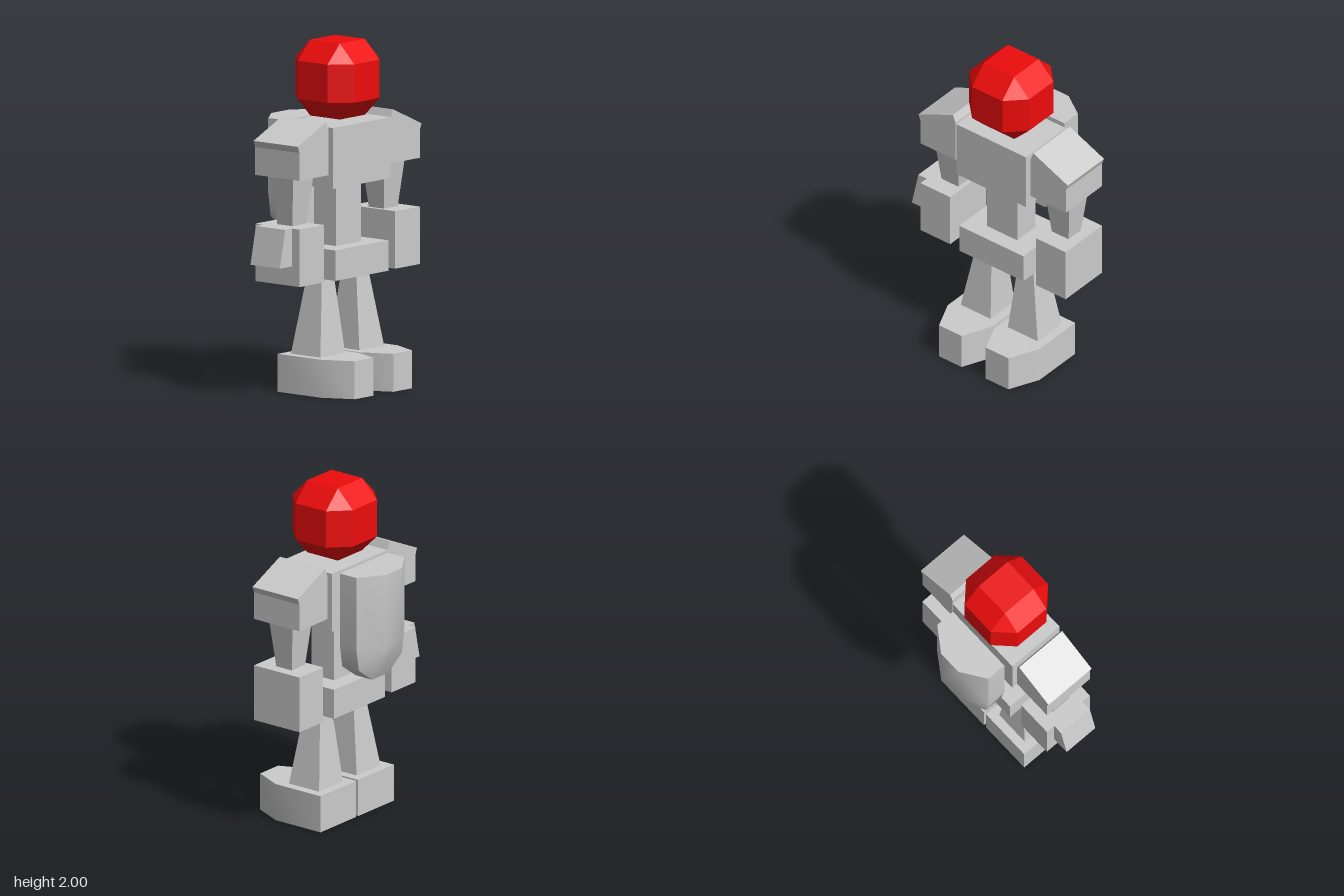
import * as THREE from 'three';
import { ConvexGeometry } from 'three/addons/geometries/ConvexGeometry.js';
import { toCreasedNormals } from 'three/addons/utils/BufferGeometryUtils.js';

const grey = new THREE.MeshStandardMaterial({ color: 0xcccccc });
const flatGrey = new THREE.MeshStandardMaterial({ color: 0xcccccc, flatShading: true });
const red = new THREE.MeshStandardMaterial({ color: 0xee0c0c, flatShading: true });

export function createModel() {
  const model = new THREE.Group();
  model.name = 'robot';

  // the body's midline sits a little off the overall centre
  const body = new THREE.Group();
  body.name = 'body';
  body.position.set(0.045, 0, 0.045);
  model.add(body);

  function add(name, geometry, material = flatGrey) {
    const mesh = new THREE.Mesh(geometry, material);
    mesh.name = name;
    body.add(mesh);
    return mesh;
  }

  // block from y0 to y1 with its own width and depth at each end
  function block(name, x, y0, y1, bottom, top = bottom, xTop = x) {
    const g = new THREE.BoxGeometry(1, 1, 1);
    const p = g.attributes.position;
    for (let i = 0; i < p.count; i++) {
      const up = p.getY(i) > 0;
      const [w, d] = up ? top : bottom;
      p.setXYZ(i, (up ? xTop : x) + p.getX(i) * w, up ? y1 : y0, p.getZ(i) * d);
    }
    g.computeVertexNormals();
    return add(name, g);
  }

  // outline in x and y, extruded evenly about z = 0
  function prism(points, depth) {
    const shape = new THREE.Shape(points.map(([x, y]) => new THREE.Vector2(x, y)));
    return new THREE.ExtrudeGeometry(shape, { depth, bevelEnabled: false })
      .translate(0, 0, -depth / 2);
  }

  // head: a cube with cut edges and corners
  const a = 0.11, b = 0.218, headPoints = [];
  for (const x of [-1, 1]) for (const y of [-1, 1]) for (const z of [-1, 1]) {
    headPoints.push(
      new THREE.Vector3(x * b, y * a, z * a),
      new THREE.Vector3(x * a, y * b, z * a),
      new THREE.Vector3(x * a, y * a, z * b));
  }
  add('head', new ConvexGeometry(headPoints), red).position.y = 1.782;

  // trunk
  block('torso', 0, 1.19, 1.54, [0.505, 0.36]);
  block('torsoUnderside', 0, 1.165, 1.19, [0.22, 0.165], [0.505, 0.36]);
  block('abdomen', 0, 0.835, 1.167, [0.22, 0.165]);
  block('hips', 0, 0.66, 0.835, [0.466, 0.36]);

  // arms, legs and feet
  for (const s of [1, -1]) {
    const side = s > 0 ? 'left' : 'right';
    const shoulder = [[0.273, 1.27], [0.529, 1.27], [0.529, 1.43],
      [0.543, 1.467], [0.293, 1.578], [0.273, 1.53]];
    add(side + 'Shoulder', prism(shoulder.map(([x, y]) => [s * x, y]), 0.328));
    block(side + 'UpperArm', s * 0.401, 0.99, 1.27, [0.122, 0.112], [0.18, 0.17]);
    block(side + 'Forearm', s * 0.42, 0.66, 0.99, [0.216, 0.328]);
    block(side + 'Leg', s * 0.171, 0.218, 0.66, [0.217, 0.218], [0.106, 0.112], s * 0.151);

    // foot outline in x and z, narrowing to the toe
    const foot = [[0.009, -0.162], [0.334, -0.162], [0.334, 0.16],
      [0.252, 0.34], [0.088, 0.34], [0.009, 0.16]];
    const footGeometry = prism(foot.map(([x, z]) => [s * x, -z]), 0.218)
      .rotateX(-Math.PI / 2).translate(0, 0.109, 0);
    add(side + 'Foot', toCreasedNormals(footGeometry, 0.8), grey);
  }

  // flared guard on the right forearm
  add('forearmGuard', prism(
    [[-0.524, 0.773], [-0.524, 0.99], [-0.588, 0.99], [-0.635, 0.773]], 0.218));

  // back shield: a plate with a raised, chamfered rear
  const shieldPoints = [];
  for (const s of [1, -1]) {
    for (const [x, y] of [[0.218, 1.54], [0.218, 1.11], [0.196, 0.973], [0.073, 0.885]]) {
      for (const z of [-0.21, -0.33]) shieldPoints.push(new THREE.Vector3(s * x, y, z));
    }
    for (const y of [1.54, 1.1]) shieldPoints.push(new THREE.Vector3(s * 0.073, y, -0.429));
  }
  add('backShield', toCreasedNormals(new ConvexGeometry(shieldPoints), 0.8), grey);

  return model;
}
